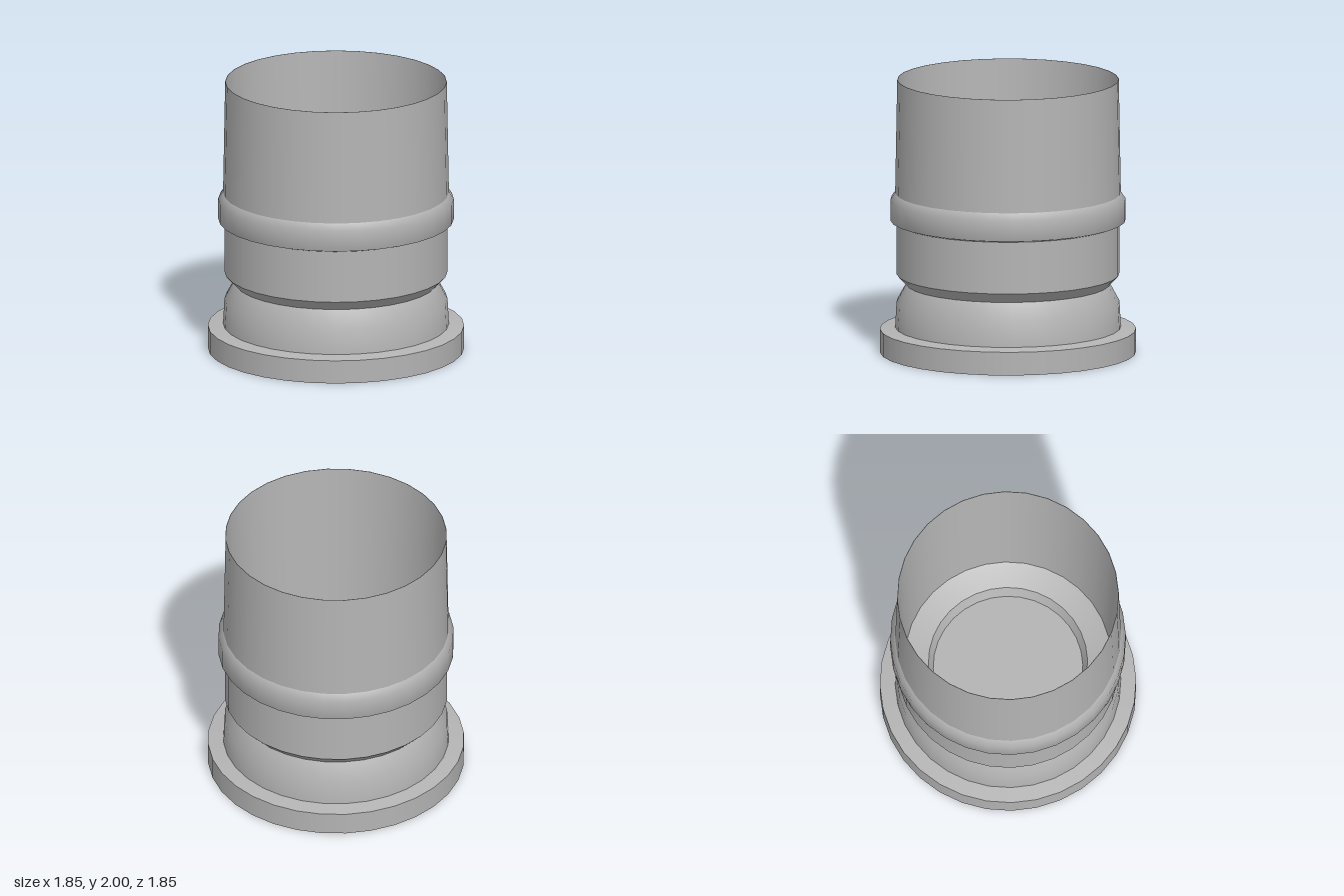
import * as THREE from 'three';

const SIDES = 32;

export function createModel() {
  const model = new THREE.Group();
  model.name = 'flangedSleeve';
  const grey = new THREE.MeshStandardMaterial({ color: 0xb4b4b4, side: THREE.DoubleSide });
  grey.name = 'plainGrey';

  // Each band is smooth within itself; separate bands meet in sharp edges.
  // Outer bands run upwards, inner bands downwards, so all face outwards.
  const band = (name, points, sides = SIDES) => {
    const profile = points.map(([r, y]) => new THREE.Vector2(r, y));
    const mesh = new THREE.Mesh(new THREE.LatheGeometry(profile, sides), grey);
    mesh.name = name;
    model.add(mesh);
  };

  // Base flange
  band('flangeUnderside', [[0.83, 0], [0.925, 0]]);
  band('flangeEdge', [[0.925, 0], [0.925, 0.17]]);
  band('flangeTop', [[0.925, 0.17], [0.815, 0.185]]);

  // Outer wall with its groove and raised ring
  band('lowerWallAndGroove', [[0.815, 0.185], [0.805, 0.37], [0.735, 0.5]]);
  band('grooveUpperFace', [[0.735, 0.5], [0.805, 0.575]]);
  band('middleWall', [[0.805, 0.575], [0.805, 0.955]]);
  band('raisedRing', [[0.805, 0.955], [0.85, 0.97], [0.85, 1.12], [0.815, 1.17]]);
  band('upperWall', [[0.815, 1.17], [0.8, 2]]);

  // Upper bore, stepping in to the closed floor
  band('topRim', [[0.8, 2], [0.797, 2]]);
  band('upperBore', [[0.797, 2], [0.745, 0.66]]);
  band('boreShoulder', [[0.745, 0.66], [0.71, 0.64], [0.63, 0.61]]);
  band('boreStep', [[0.63, 0.61], [0.575, 0.59]]);
  band('wellWall', [[0.575, 0.59], [0.54, 0.5]]);
  band('floorTop', [[0.54, 0.5], [0, 0.5]]);

  // Lower bore, tapering up to the underside of the floor
  band('floorUnderside', [[0, 0.48], [0.54, 0.48]]);
  band('recessWall', [[0.54, 0.48], [0.545, 0.46]]);
  band('lowerShoulder', [[0.545, 0.46], [0.72, 0.46]]);
  band('lowerBore', [[0.72, 0.46], [0.83, 0]]);

  return model;
}
